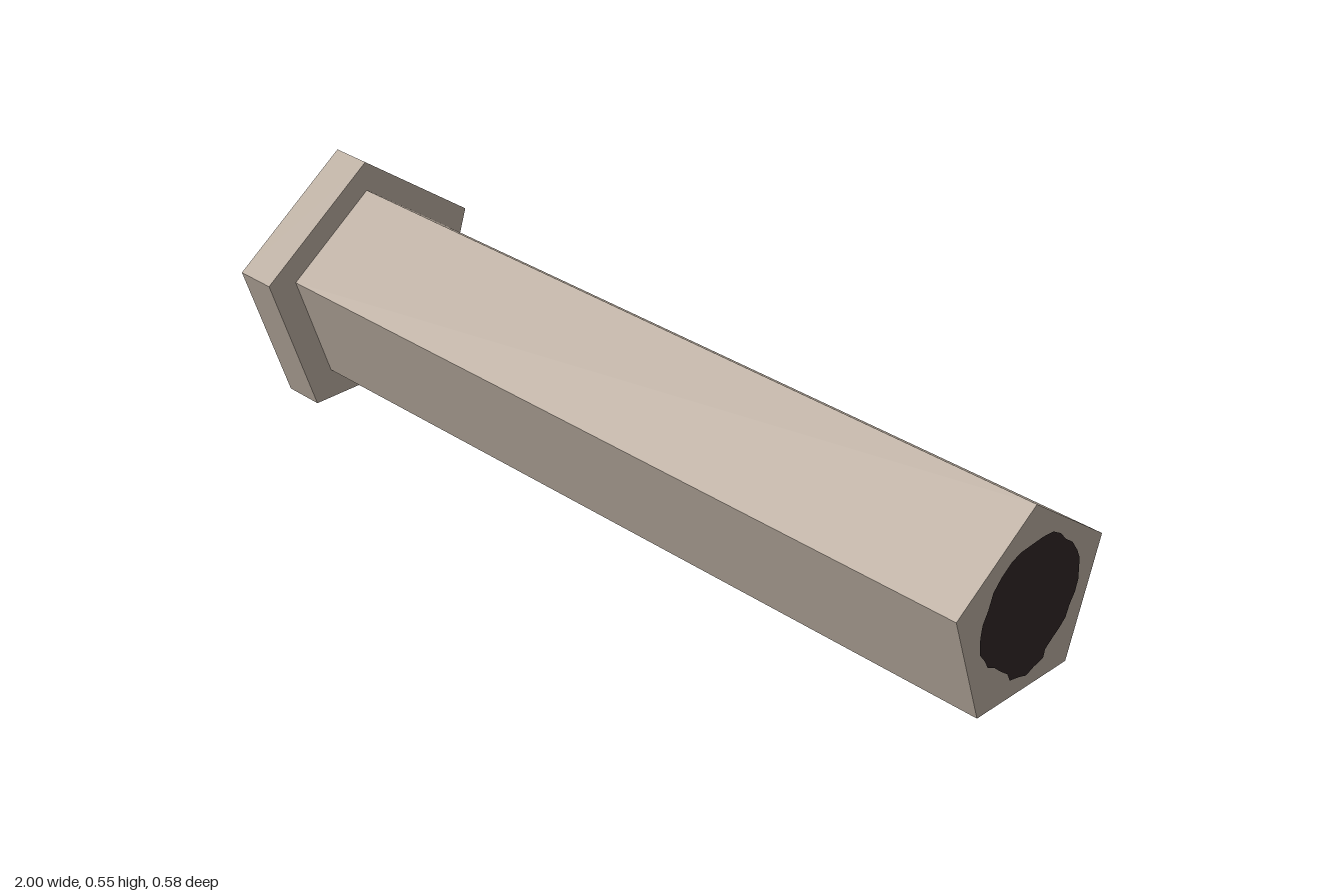
import * as THREE from 'three';

const stone = new THREE.MeshStandardMaterial({ color: 0xb8ab9e });
stone.name = 'warm grey stone';
const dark = new THREE.MeshStandardMaterial({ color: 0x302626 });
dark.name = 'dark bore';

// Pentagonal prism lying along x, with one corner pointing up
function prism(name, x0, x1, radius, centreY) {
  const corners = [];
  for (let i = 0; i < 5; i++) {
    const a = Math.PI / 2 + (i * 2 * Math.PI) / 5;
    corners.push(new THREE.Vector2(Math.cos(a) * radius, Math.sin(a) * radius));
  }
  const geo = new THREE.ExtrudeGeometry(new THREE.Shape(corners), { depth: x1 - x0, bevelEnabled: false });
  geo.rotateY(Math.PI / 2);
  geo.translate(x0, centreY, 0);
  const mesh = new THREE.Mesh(geo, stone);
  mesh.name = name;
  return mesh;
}

// Ragged outline of the bore, seen from outside, in thousandths about its centre
const outline = [
  [25, 149], [55, 147], [79, 133], [96, 113], [118, 97], [136, 71], [146, 49], [148, 1],
  [141, -24], [127, -47], [118, -71], [100, -88], [84, -99], [61, -117], [57, -135], [29, -142],
  [7, -151], [-14, -144], [-43, -138], [-52, -119], [-73, -103], [-93, -85], [-114, -74], [-125, -54],
  [-141, -33], [-143, 4], [-139, 31], [-125, 58], [-114, 90], [-93, 113], [-64, 135], [-37, 144], [-2, 147],
];

// Painted opening on an end face; side is +1 or -1 along x
function bore(name, side, scale, centreY) {
  const points = outline.map(([u, v]) => new THREE.Vector2((u * scale) / 1000, (v * scale) / 1000));
  const mesh = new THREE.Mesh(new THREE.ShapeGeometry(new THREE.Shape(points)), dark);
  mesh.rotation.y = (side * Math.PI) / 2;
  mesh.position.set(side, centreY, 0);
  mesh.name = name;
  return mesh;
}

export function createModel() {
  const group = new THREE.Group();
  group.name = 'pentagonalPipe';
  group.add(
    prism('shaft', -0.9, 0.998, 0.2257, 0.2525),
    prism('endFlange', -0.998, -0.9, 0.3024, 0.2447),
    bore('shaftBore', 1, 1, 0.25),
    bore('flangeBore', -1, 1.18, 0.24),
  );
  return group;
}
